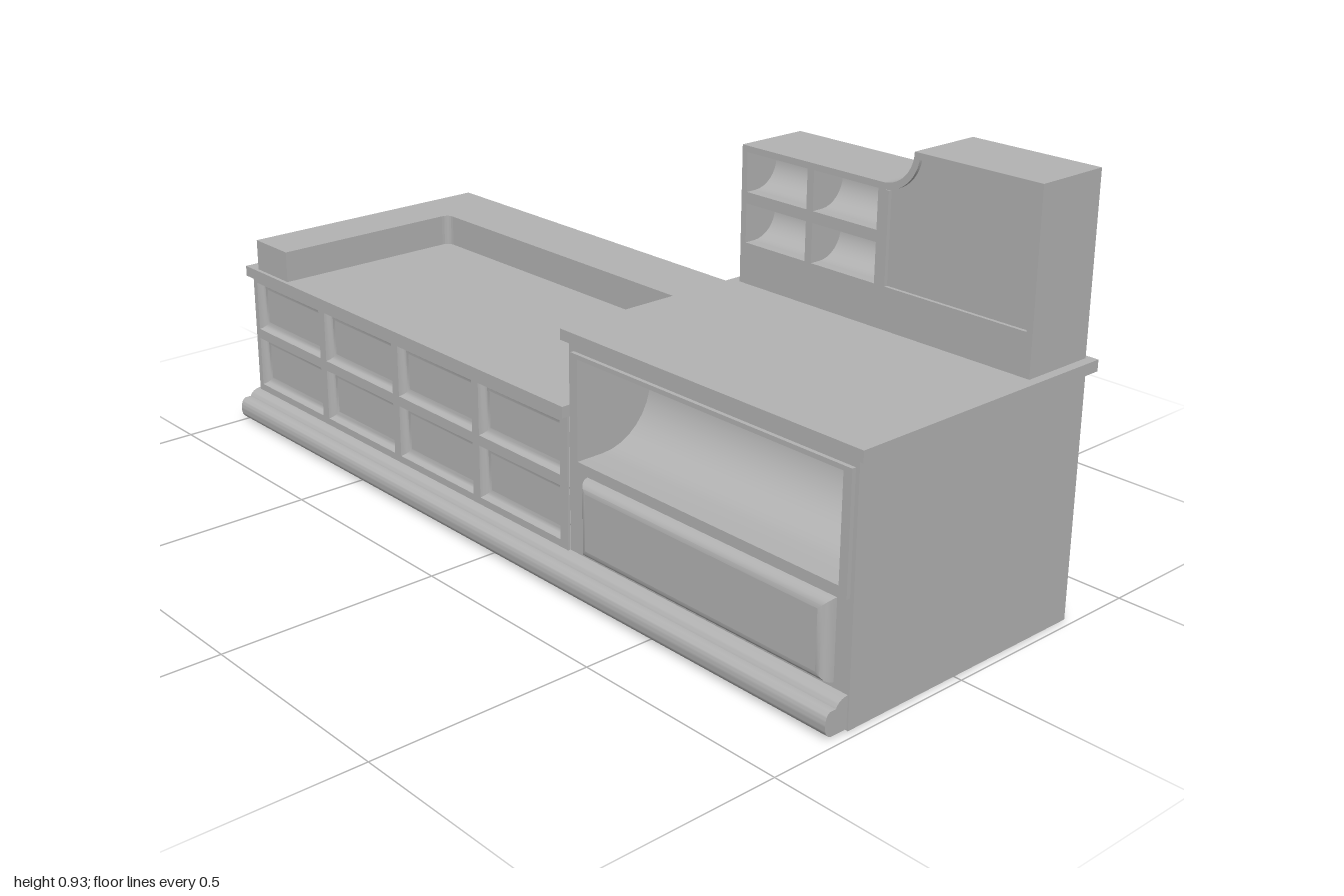
import * as THREE from 'three';
import { toCreasedNormals } from 'three/addons/utils/BufferGeometryUtils.js';

export function createModel() {
  const root = new THREE.Group();
  root.name = 'serviceCounter';
  const grey = new THREE.MeshStandardMaterial({ color: 0xb2b2b2, side: THREE.DoubleSide });
  grey.name = 'plain grey';

  const add = (name, geo, parent = root) => {
    const mesh = new THREE.Mesh(geo, grey);
    mesh.name = name;
    parent.add(mesh);
    return mesh;
  };
  const group = (name) => {
    const g = new THREE.Group();
    g.name = name;
    root.add(g);
    return g;
  };

  // Box given by its lower and upper limits
  const box = (name, [x0, x1], [y0, y1], [z0, z1], parent) => {
    const geo = new THREE.BoxGeometry(x1 - x0, y1 - y0, z1 - z0);
    geo.translate((x0 + x1) / 2, (y0 + y1) / 2, (z0 + z1) / 2);
    return add(name, geo, parent);
  };

  // Rectangle in the (z, y) plane, as an outline or a hole
  const rect = (Type, [z0, z1, y0, y1]) => {
    const p = new Type();
    p.moveTo(z0, y0).lineTo(z1, y0).lineTo(z1, y1).lineTo(z0, y1).closePath();
    return p;
  };

  // Panel facing -x: a (z, y) outline, outer face at x, thickness going inwards
  const panel = (name, shape, x, thickness, parent) => {
    const geo = new THREE.ExtrudeGeometry(shape, { depth: thickness, bevelEnabled: false, curveSegments: 10 });
    geo.rotateY(-Math.PI / 2).translate(x + thickness, 0, 0);
    return add(name, geo, parent);
  };

  // Strips of quads between rings of points
  const loft = (rings, closed, crease) => {
    const n = rings[0].length, index = [];
    for (let r = 0; r < rings.length - 1; r++) {
      for (let i = 0; i < (closed ? n : n - 1); i++) {
        const a = r * n + i, b = r * n + (i + 1) % n;
        index.push(a, b, b + n, a, b + n, a + n);
      }
    }
    const geo = new THREE.BufferGeometry();
    geo.setAttribute('position', new THREE.Float32BufferAttribute(rings.flat(2), 3));
    geo.setIndex(index);
    return toCreasedNormals(geo, crease);
  };

  // Bevelled panel, sunk (depth > 0) or raised (depth < 0)
  const pan = (name, [z0, z1, y0, y1], x, depth, bevel, parent) => {
    const ring = (inset, d) => [
      [x + d, y0 + inset, z0 + inset], [x + d, y0 + inset, z1 - inset],
      [x + d, y1 - inset, z1 - inset], [x + d, y1 - inset, z0 + inset]];
    const rings = [];
    for (let i = 0; i <= 4; i++) {
      const a = i / 4 * Math.PI / 2;
      rings.push(ring(bevel * (1 - Math.cos(a)), depth * Math.sin(a)));
    }
    add(name, loft(rings, true, 0.7), parent);
    panel(name + 'Face', rect(THREE.Shape, [z0 + bevel, z1 - bevel, y0 + bevel, y1 - bevel]),
      x + depth, 0.001, parent);
  };

  // Open display bin whose floor sweeps up into its back
  const bin = (name, [z0, z1, y0, y1], x, depth, radius, parent) => {
    const pts = [[x, y0]];
    for (let i = 0; i <= 8; i++) {
      const a = i / 8 * Math.PI / 2;
      pts.push([x + depth - radius + radius * Math.sin(a), y0 + radius - radius * Math.cos(a)]);
    }
    pts.push([x + depth, y1], [x, y1]);
    add(name, loft([z0, z1].map((z) => pts.map(([px, py]) => [px, py, z])), false, 0.6), parent);
    const end = new THREE.Shape(pts.map(([px, py]) => new THREE.Vector2(px, py)));
    for (const z of [z0, z1]) add(name + 'End', new THREE.ShapeGeometry(end).translate(0, 0, z), parent);
  };

  // Tall counter: hollow shell, open underneath
  const tall = group('tallCounter');
  box('tallFrontWall', [-0.297, 0.338], [0.002, 0.535], [0.978, 0.984], tall);
  box('tallSideWall', [0.332, 0.338], [0.002, 0.535], [0.21, 0.984], tall);
  box('tallStepWall', [-0.297, 0.338], [0.36, 0.535], [0.21, 0.216], tall);
  box('tallTop', [-0.307, 0.353], [0.533, 0.557], [0.195, 1.0], tall);
  const niche = [0.245, 0.955, 0.285, 0.505], drawer = [0.265, 0.945, 0.085, 0.255];
  const tallWall = rect(THREE.Shape, [0.21, 0.984, 0.002, 0.535]);
  tallWall.holes.push(rect(THREE.Path, niche), rect(THREE.Path, drawer));
  panel('tallServiceWall', tallWall, -0.297, 0.005, tall);
  bin('displayNiche', niche, -0.3, 0.19, 0.13, tall);
  pan('tallDrawer', drawer, -0.297, -0.026, 0.022, tall);
  // Raised frame round the niche
  const frame = rect(THREE.Shape, [0.225, 0.975, 0.265, 0.515]);
  frame.holes.push(rect(THREE.Path, niche));
  panel('nicheFrame', frame, -0.306, 0.01, tall);

  // Low counter: hollow shell with two rows of four sunk panels
  const low = group('lowCounter');
  box('lowBackWall', [-0.303, 0.336], [0, 0.375], [-0.99, -0.984], low);
  box('lowSideWall', [0.33, 0.336], [0, 0.375], [-0.99, 0.21], low);
  box('lowTop', [-0.316, 0.343], [0.371, 0.396], [-1.0, 0.21], low);
  const lowWall = rect(THREE.Shape, [-0.99, 0.21, 0, 0.375]);
  const cells = [];
  for (let i = 0; i < 4; i++) {
    const z = -0.975 + i * 0.296;
    cells.push([z, z + 0.272, 0.09, 0.212], [z, z + 0.272, 0.236, 0.356]);
  }
  cells.forEach((c) => lowWall.holes.push(rect(THREE.Path, c)));
  panel('lowServiceWall', lowWall, -0.303, 0.005, low);
  cells.forEach((c) => pan('lowPanel', c, -0.303, 0.018, 0.018, low));

  // L-shaped ledge on the low counter
  const ledge = new THREE.Shape();
  ledge.moveTo(-0.307, -0.957).lineTo(0.333, -0.957).lineTo(0.333, 0.21).lineTo(0.17, 0.21)
    .lineTo(0.17, -0.806).quadraticCurveTo(0.17, -0.826, 0.15, -0.826).lineTo(-0.307, -0.826).closePath();
  const ledgeGeo = new THREE.ExtrudeGeometry(ledge, { depth: 0.075, bevelEnabled: false, curveSegments: 5 });
  add('ledge', ledgeGeo.rotateX(Math.PI / 2).translate(0, 0.47, 0), low);

  // Rounded toe rail along the service side
  const rail = new THREE.Shape();
  rail.moveTo(-0.297, 0.005).lineTo(-0.338, 0.005).quadraticCurveTo(-0.354, 0.01, -0.354, 0.03)
    .quadraticCurveTo(-0.354, 0.052, -0.342, 0.057).lineTo(-0.327, 0.057)
    .quadraticCurveTo(-0.32, 0.073, -0.297, 0.074).closePath();
  const railGeo = new THREE.ExtrudeGeometry(rail, { depth: 1.98, bevelEnabled: false, curveSegments: 8 });
  add('toeRail', toCreasedNormals(railGeo.translate(0, 0, -1), 0.6));

  // Shelf tower with a swept step in its top
  const tower = group('shelfTower');
  const outline = (inset, zStart, yBase) => {
    const s = new THREE.Shape();
    s.moveTo(zStart, yBase).lineTo(0.984 - inset, yBase).lineTo(0.984 - inset, 0.934 - inset)
      .lineTo(0.684 + inset, 0.934 - inset)
      .absarc(0.609, 0.934, 0.075 + inset, -Math.asin(inset / (0.075 + inset)), -Math.PI / 2, true)
      .lineTo(zStart, 0.859 - inset).closePath();
    return s;
  };
  const front = outline(0, 0.225, 0.56);
  const shelves = [];
  for (const [z0, z1] of [[0.24, 0.41], [0.428, 0.598]]) {
    for (const [y0, y1] of [[0.65, 0.735], [0.76, 0.845]]) shelves.push([z0, z1, y0, y1]);
  }
  shelves.forEach((c) => front.holes.push(rect(THREE.Path, c)));
  const sunk = outline(0.014, 0.625, 0.65);
  front.holes.push(new THREE.Path(sunk.getPoints(10)));
  panel('towerFront', front, 0.162, 0.09, tower);
  panel('towerBack', outline(0, 0.225, 0.56), 0.252, 0.082, tower);
  panel('towerSunkPanel', sunk, 0.17, 0.01, tower);
  shelves.forEach((c) => bin('towerShelf', c, 0.163, 0.085, 0.06, tower));

  return root;
}
